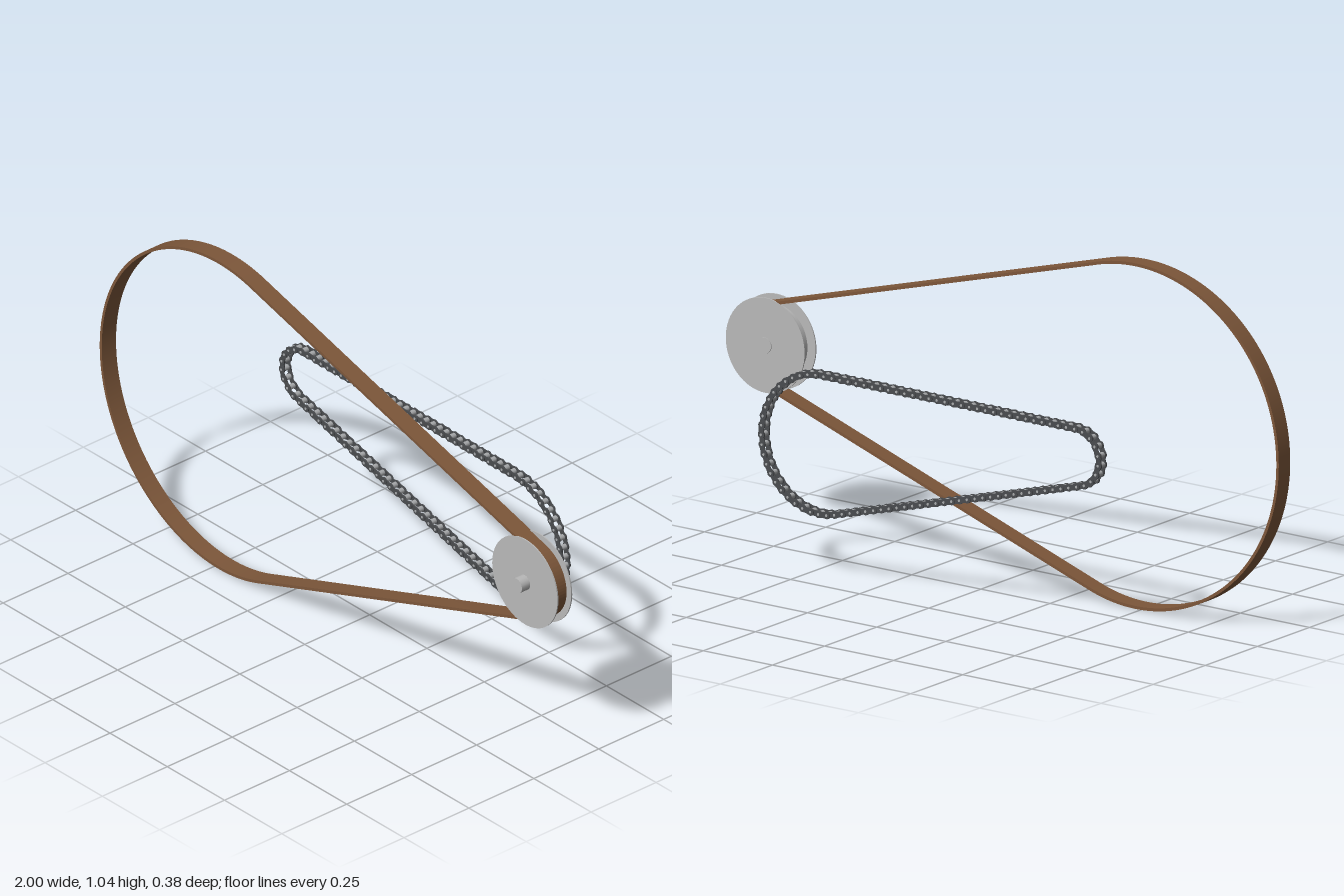
import * as THREE from 'three';
import { mergeGeometries, toCreasedNormals } from 'three/addons/utils/BufferGeometryUtils.js';

const mat = (name, color) => new THREE.MeshStandardMaterial({ name, color });

// Closed path hugging two circles (a on the left, b on the right), with tangent runs between them
function loopAround(a, b, offset = 0, Type = THREE.Shape) {
  const dx = b.x - a.x, dy = b.y - a.y;
  const phi = Math.atan2(dy, dx);
  const beta = Math.acos((a.r - b.r) / Math.hypot(dx, dy));
  const path = new Type();
  path.absarc(a.x, a.y, a.r + offset, phi + beta, phi - beta + Math.PI * 2, false);
  path.absarc(b.x, b.y, b.r + offset, phi - beta, phi + beta, false);
  path.closePath();
  return path;
}

// Cylinder lying along z
function disc(r, length, z, segments) {
  return new THREE.CylinderGeometry(r, r, length, segments).rotateX(Math.PI / 2).translate(0, 0, z);
}

// Chain side plate: two round ends with a slight waist, centred on the origin
function plateGeometry(pitch, r, thickness, z) {
  const h = pitch / 2, s = new THREE.Shape();
  s.absarc(h, 0, r, -Math.PI * 0.6, Math.PI * 0.6, false);
  s.quadraticCurveTo(0, r * 0.6, -h + r * 0.31, r * 0.951);
  s.absarc(-h, 0, r, Math.PI * 0.4, Math.PI * 1.6, false);
  s.quadraticCurveTo(0, -r * 0.6, h - r * 0.31, -r * 0.951);
  return new THREE.ExtrudeGeometry(s, { depth: thickness, bevelEnabled: false, curveSegments: 6 })
    .translate(0, 0, z - thickness / 2);
}

export function createModel() {
  const model = new THREE.Group();
  model.name = 'beltAndChainDrive';
  const brown = mat('beltBrown', 0x7d573a);
  const silver = mat('pulleySilver', 0xb9b9b9);
  const steel = mat('rollerSteel', 0xa8aaac);
  const dark = mat('plateDarkSteel', 0x4a4c4f);

  const add = (parent, name, geometry, material) => {
    const mesh = new THREE.Mesh(geometry, material);
    mesh.name = name;
    parent.add(mesh);
    return mesh;
  };

  // Flat belt
  const wheel = { x: -0.481, y: 0.519, r: 0.519 };
  const hub = { x: 0.857, y: 0.5615, r: 0.122 };
  const beltShape = loopAround(wheel, hub);
  beltShape.holes.push(loopAround(wheel, hub, -0.009, THREE.Path));
  const belt = new THREE.ExtrudeGeometry(beltShape, { depth: 0.055, bevelEnabled: false, curveSegments: 72 });
  belt.translate(0, 0, 0.1025);
  add(model, 'belt', toCreasedNormals(belt, 0.6), brown);

  // Flanged pulley with its shaft
  const pulley = new THREE.Group();
  pulley.name = 'pulley';
  pulley.position.set(hub.x, hub.y, 0.13);
  model.add(pulley);
  add(pulley, 'pulleyDrum', disc(0.113, 0.05, 0, 64), silver);
  for (const side of [1, -1]) {
    add(pulley, side > 0 ? 'frontFlange' : 'backFlange', disc(0.1425, 0.004, side * 0.0265, 64), silver);
  }
  add(pulley, 'shaft', disc(0.0235, 0.091, 0.0145, 16), silver);

  // Roller chain
  const chain = new THREE.Group();
  chain.name = 'chain';
  chain.position.z = -0.1725;
  model.add(chain);
  const links = 96;
  const path = loopAround({ x: -0.479, y: 0.52, r: 0.086 }, { x: 0.446, y: 0.3985, r: 0.2085 }, 0, THREE.Path);
  const points = path.getSpacedPoints(links).slice(0, links);
  const pitch = path.getLength() / links;

  const pinBase = disc(0.0042, 0.033, 0, 8);
  const rollerBase = disc(0.0085, 0.019, 0, 12);
  const plateBases = [0.0108, 0.0138].map((z) => mergeGeometries(
    [z, -z].map((pz) => plateGeometry(pitch, 0.0112, 0.0025, pz))));

  const pins = [], rollers = [], plates = [[], []];
  points.forEach((p, i) => {
    const q = points[(i + 1) % links];
    pins.push(pinBase.clone().translate(p.x, p.y, 0));
    rollers.push(rollerBase.clone().translate(p.x, p.y, 0));
    // Inner and outer plates alternate along the chain
    plates[i % 2].push(plateBases[i % 2].clone()
      .rotateZ(Math.atan2(q.y - p.y, q.x - p.x))
      .translate((p.x + q.x) / 2, (p.y + q.y) / 2, 0));
  });
  add(chain, 'chainPins', mergeGeometries(pins), steel);
  add(chain, 'chainRollers', mergeGeometries(rollers), steel);
  add(chain, 'innerPlates', mergeGeometries(plates[0]), dark);
  add(chain, 'outerPlates', mergeGeometries(plates[1]), dark);

  return model;
}
